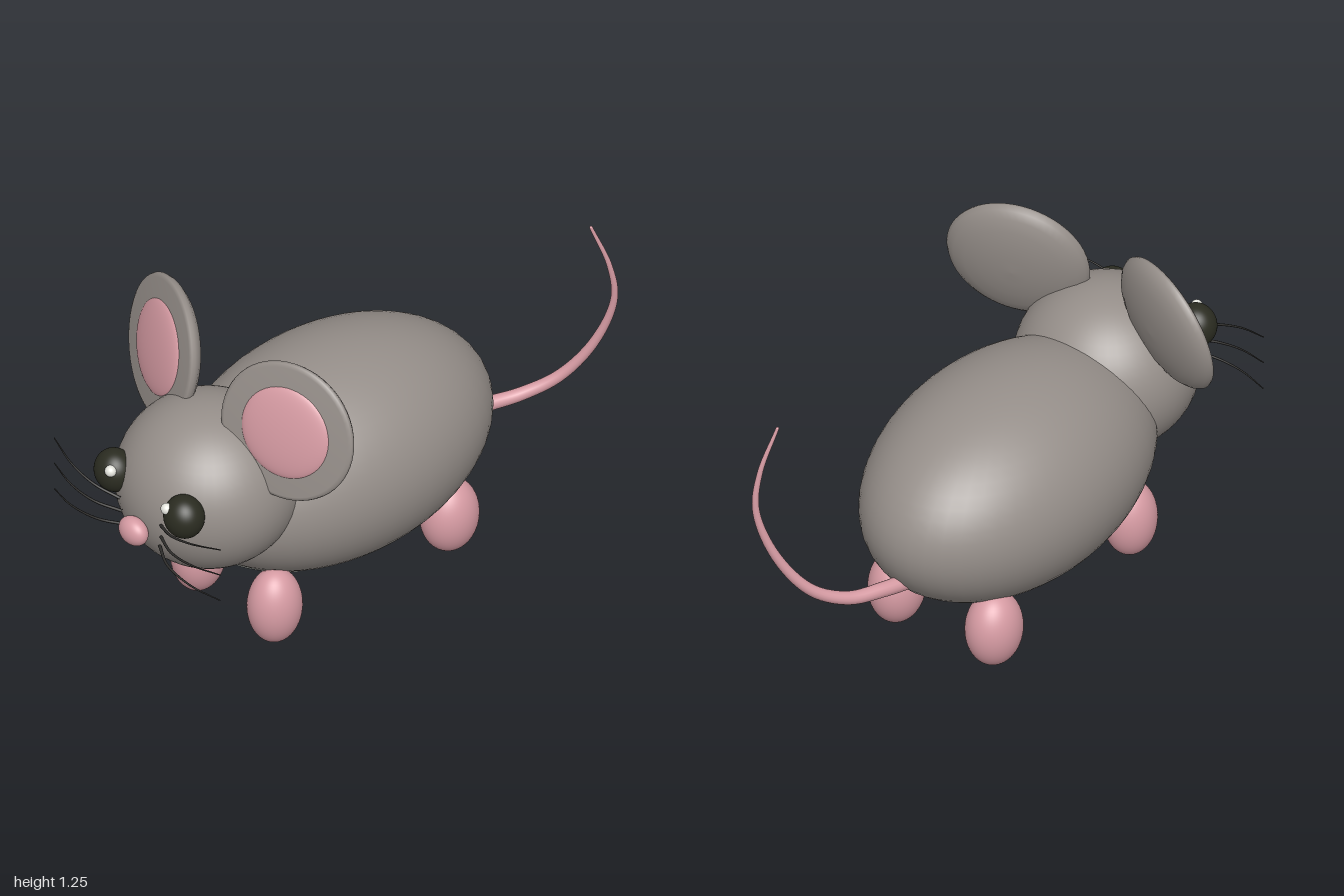
import * as THREE from 'three';

const mat = (name, color) => Object.assign(new THREE.MeshStandardMaterial({ color }), { name });

export function createModel() {
  const model = new THREE.Group();
  model.name = 'mouse';
  const fur = mat('grey fur', 0x958e89);
  const pink = mat('pink skin', 0xd69ba3);
  const dark = mat('dark eye', 0x2b2c21);
  const whiskerMat = mat('whisker charcoal', 0x2e2d2b);
  const white = mat('eye shine', 0xe6e6df);
  const chestMat = mat('chest grey', 0x939791);
  chestMat.side = THREE.DoubleSide;

  const add = (name, geo, material, parent = model) => {
    const mesh = new THREE.Mesh(geo, material);
    mesh.name = name;
    parent.add(mesh);
    return mesh;
  };
  const ellipsoid = (name, material, pos, radii, parent = model) => {
    const mesh = add(name, new THREE.SphereGeometry(1, 48, 32), material, parent);
    mesh.position.set(...pos);
    mesh.scale.set(...radii);
    return mesh;
  };
  // Tube that narrows from radius r0 to r1
  const taperedTube = (name, material, pts, r0, r1, segs, sides) => {
    const curve = new THREE.CatmullRomCurve3(pts.map(p => new THREE.Vector3(...p)));
    const geo = new THREE.TubeGeometry(curve, segs, 1, sides);
    const pos = geo.attributes.position;
    const v = new THREE.Vector3();
    for (let i = 0; i < pos.count; i++) {
      const t = Math.floor(i / (sides + 1)) / segs;
      const c = curve.getPointAt(t);
      v.fromBufferAttribute(pos, i).sub(c).multiplyScalar(r0 + (r1 - r0) * t).add(c);
      pos.setXYZ(i, v.x, v.y, v.z);
    }
    const mesh = add(name, geo, material);
    // Rounded tip
    ellipsoid(name + 'Tip', material, pts[pts.length - 1], [r1, r1, r1]);
    return mesh;
  };

  // Body and head
  const bodyPos = [0, 0.525, 0.04], bodyR = [0.425, 0.395, 0.65];
  ellipsoid('body', fur, bodyPos, bodyR);
  ellipsoid('head', fur, [0, 0.657, 0.61], [0.328, 0.313, 0.325]);
  ellipsoid('nose', pink, [0, 0.6, 0.958], [0.062, 0.053, 0.042]);

  // Chest patch: a thin oval lying on the underside of the body
  const patch = new THREE.RingGeometry(0, 1, 48, 10);
  const pp = patch.attributes.position;
  for (let i = 0; i < pp.count; i++) {
    const lon = pp.getX(i) * 0.49, lat = 0.7 + pp.getY(i) * 0.305;
    pp.setXYZ(i,
      Math.sin(lon) * bodyR[0] * 1.006,
      -Math.cos(lat) * Math.cos(lon) * bodyR[1] * 1.006,
      Math.sin(lat) * Math.cos(lon) * bodyR[2] * 1.006);
  }
  patch.computeVertexNormals();
  add('chestPatch', patch, chestMat).position.set(...bodyPos);

  // Ear profile: domed back, blunt rim, nearly flat front
  const earProfile = [
    [0, -0.075], [0.06, -0.073], [0.12, -0.066], [0.18, -0.053], [0.225, -0.035],
    [0.25, -0.015], [0.26, 0.003], [0.256, 0.014], [0.243, 0.02], [0.12, 0.026], [0, 0.028],
  ].map(p => new THREE.Vector2(...p));
  const earGeo = new THREE.LatheGeometry(earProfile, 56);

  // Whisker paths on the left side
  const whiskers = [
    [[0.105, 0.665, 0.925], [0.2, 0.692, 0.962], [0.31, 0.722, 0.968], [0.43, 0.75, 0.94]],
    [[0.1, 0.61, 0.92], [0.2, 0.619, 0.962], [0.31, 0.63, 0.968], [0.43, 0.641, 0.94]],
    [[0.082, 0.556, 0.91], [0.18, 0.551, 0.96], [0.31, 0.54, 0.968], [0.428, 0.53, 0.94]],
  ];

  for (const s of [1, -1]) {
    const side = s > 0 ? 'left' : 'right';

    // Ear, facing forward, outward and a little up
    const ear = new THREE.Group();
    ear.name = side + 'Ear';
    ear.position.set(s * 0.322, 1.0, 0.528);
    ear.quaternion.setFromUnitVectors(
      new THREE.Vector3(0, 1, 0), new THREE.Vector3(s * 0.32, 0.2, 0.92).normalize());
    model.add(ear);
    add('earShell', earGeo, fur, ear);
    ellipsoid('innerEar', pink, [0, 0.018, 0], [0.173, 0.032, 0.173], ear);

    // Eye with a shine
    ellipsoid(side + 'Eye', dark, [s * 0.18, 0.727, 0.885], [0.075, 0.08, 0.07]);
    ellipsoid(side + 'EyeShine', white, [s * 0.145, 0.765, 0.935], [0.021, 0.021, 0.02]);

    // Feet
    ellipsoid(side + 'FrontFoot', pink, [s * 0.198, 0.15, 0.48], [0.094, 0.147, 0.1]);
    ellipsoid(side + 'BackFoot', pink, [s * 0.21, 0.147, -0.32], [0.098, 0.144, 0.11]);

    whiskers.forEach((w, i) =>
      taperedTube(`${side}Whisker${i + 1}`, whiskerMat,
        w.map(([x, y, z]) => [s * x, y, z]), 0.006, 0.002, 20, 8));
  }

  // Tail sweeping back, up and to one side
  taperedTube('tail', pink, [
    [0.01, 0.36, -0.5], [0.045, 0.37, -0.62], [0.1, 0.385, -0.75], [0.175, 0.45, -0.86],
    [0.26, 0.6, -0.945], [0.318, 0.8, -0.988], [0.315, 0.95, -0.97], [0.28, 1.125, -0.915],
  ], 0.03, 0.006, 60, 16);

  return model;
}
